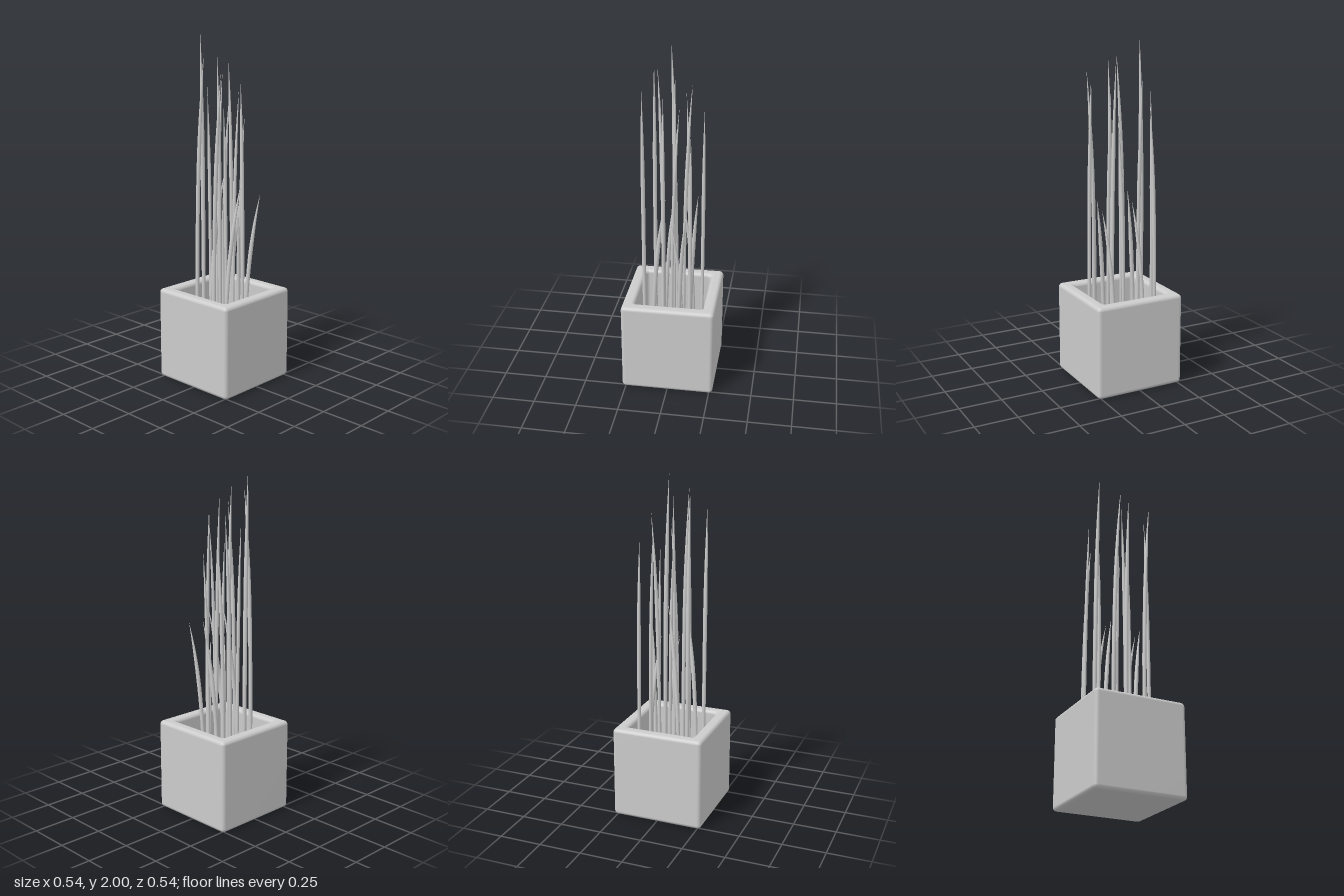
import * as THREE from 'three';

const material = new THREE.MeshStandardMaterial({ color: 0xcccccc });
const FLOOR = 0.07;

// Skin a list of closed rings (equal point counts), listed in outward-facing order
function skin(rings) {
  const n = rings[0].length, index = [];
  for (let r = 0; r < rings.length - 1; r++) {
    for (let i = 0; i < n; i++) {
      const a = r * n + i, b = r * n + (i + 1) % n;
      index.push(a, a + n, b, b, a + n, b + n);
    }
  }
  const geometry = new THREE.BufferGeometry().setFromPoints(rings.flat());
  geometry.setIndex(index);
  geometry.computeVertexNormals();
  return geometry;
}

// Rounded square in the xz plane
function squareRing(half, y, radius) {
  const points = [], steps = 6;
  for (let c = 0; c < 4; c++) {
    const mid = (c + 0.5) * Math.PI / 2;
    const cx = Math.sign(Math.cos(mid)) * (half - radius);
    const cz = Math.sign(Math.sin(mid)) * (half - radius);
    for (let i = 0; i <= steps; i++) {
      const t = (c + i / steps) * Math.PI / 2;
      points.push(new THREE.Vector3(cx + radius * Math.cos(t), y, cz + radius * Math.sin(t)));
    }
  }
  return points;
}

// Square pot: underside, outer wall, rounded rim, inner wall
function potGeometry() {
  const half = 0.271, top = 0.543, inner = 0.2, f = 0.022, steps = 6;
  const rings = [squareRing(0.001, 0, 0.0005)];
  const fillet = (cx, cy, from) => {
    for (let i = 0; i <= steps; i++) {
      const t = from + (i / steps) * Math.PI / 2;
      const h = cx + f * Math.cos(t);
      rings.push(squareRing(h, cy + f * Math.sin(t), Math.max(0.004, f - (half - h) * 0.8)));
    }
  };
  fillet(half - f, f, -Math.PI / 2);
  fillet(half - f, top - f, 0);
  for (let i = 0; i <= steps; i++) {
    const t = Math.PI / 2 * (1 + i / steps);
    rings.push(squareRing(inner + f + f * Math.cos(t), top - f + f * Math.sin(t), f));
  }
  rings.push(squareRing(inner, FLOOR, f));
  return skin(rings);
}

// Blade: rises straight, then leans towards its pointed tip
function bladeGeometry([bx, bz, tx, tz, height, radius], power) {
  const rings = [], levels = 32, sides = 12;
  const at = t => new THREE.Vector3(
    bx + (tx - bx) * t ** power,
    FLOOR + (height - FLOOR) * t,
    bz + (tz - bz) * t ** power);
  for (let k = 0; k <= levels; k++) {
    const t = k / levels;
    const tangent = at(t + 0.01).sub(at(t - 0.01 < 0 ? 0 : t - 0.01)).normalize();
    const turn = new THREE.Quaternion().setFromUnitVectors(new THREE.Vector3(0, 1, 0), tangent);
    const taper = t < 0.65 ? 0.85 + 0.15 * t / 0.65 : 1 - ((t - 0.65) / 0.35) ** 1.8;
    const r = Math.max(radius * taper, 0.0003), centre = at(t), ring = [];
    for (let i = 0; i < sides; i++) {
      const a = i / sides * Math.PI * 2;
      ring.push(new THREE.Vector3(r * Math.cos(a), 0, r * Math.sin(a)).applyQuaternion(turn).add(centre));
    }
    rings.push(ring);
  }
  return skin(rings);
}

// base x, base z, tip x, tip z, tip height, radius
const tallBlades = [
  [-0.012, -0.156, -0.036, -0.15, 2.0, 0.013],
  [0.07, -0.179, 0.046, -0.178, 1.7, 0.01],
  [0.153, -0.152, 0.157, -0.112, 1.62, 0.011],
  [-0.125, -0.097, -0.115, -0.045, 1.9, 0.012],
  [0.046, -0.1, 0.09, -0.1, 1.775, 0.011],
  [-0.054, 0.02, -0.083, 0.026, 1.9, 0.012],
  [0.02, -0.003, -0.003, -0.002, 1.62, 0.01],
  [0.012, 0.051, 0.011, 0.023, 1.87, 0.011],
  [-0.163, 0.075, -0.155, 0.124, 1.805, 0.012],
  [0.101, 0.023, 0.104, 0.06, 1.54, 0.01],
  [-0.001, 0.072, 0.042, 0.073, 1.69, 0.01],
  [-0.033, 0.177, -0.034, 0.155, 1.775, 0.011],
];
const shortBlades = [
  [-0.058, -0.058, 0.024, -0.014, 1.24, 0.012],
  [0.094, -0.044, 0.144, 0.022, 1.165, 0.012],
  [0.108, -0.108, 0.05, -0.058, 1.07, 0.011],
];

export function createModel() {
  const model = new THREE.Group();
  const add = (name, geometry, parent = model) => {
    const mesh = new THREE.Mesh(geometry, material);
    mesh.name = name;
    parent.add(mesh);
  };

  add('pot', potGeometry());
  add('potFloor', skin([squareRing(0.2, FLOOR, 0.022), squareRing(0.0005, FLOOR, 0.0002)]));

  const grass = new THREE.Group();
  grass.name = 'grass';
  model.add(grass);
  for (const blade of tallBlades) add('tallBlade', bladeGeometry(blade, 3), grass);
  // The short clump appears twice, the second one shifted and a little lower
  for (const [dx, dz, dy] of [[0, 0, 0], [-0.047, 0.167, -0.05]]) {
    for (const [bx, bz, tx, tz, h, r] of shortBlades) {
      add('shortBlade', bladeGeometry([bx + dx, bz + dz, tx + dx, tz + dz, h + dy, r], 2.5), grass);
    }
  }
  return model;
}
